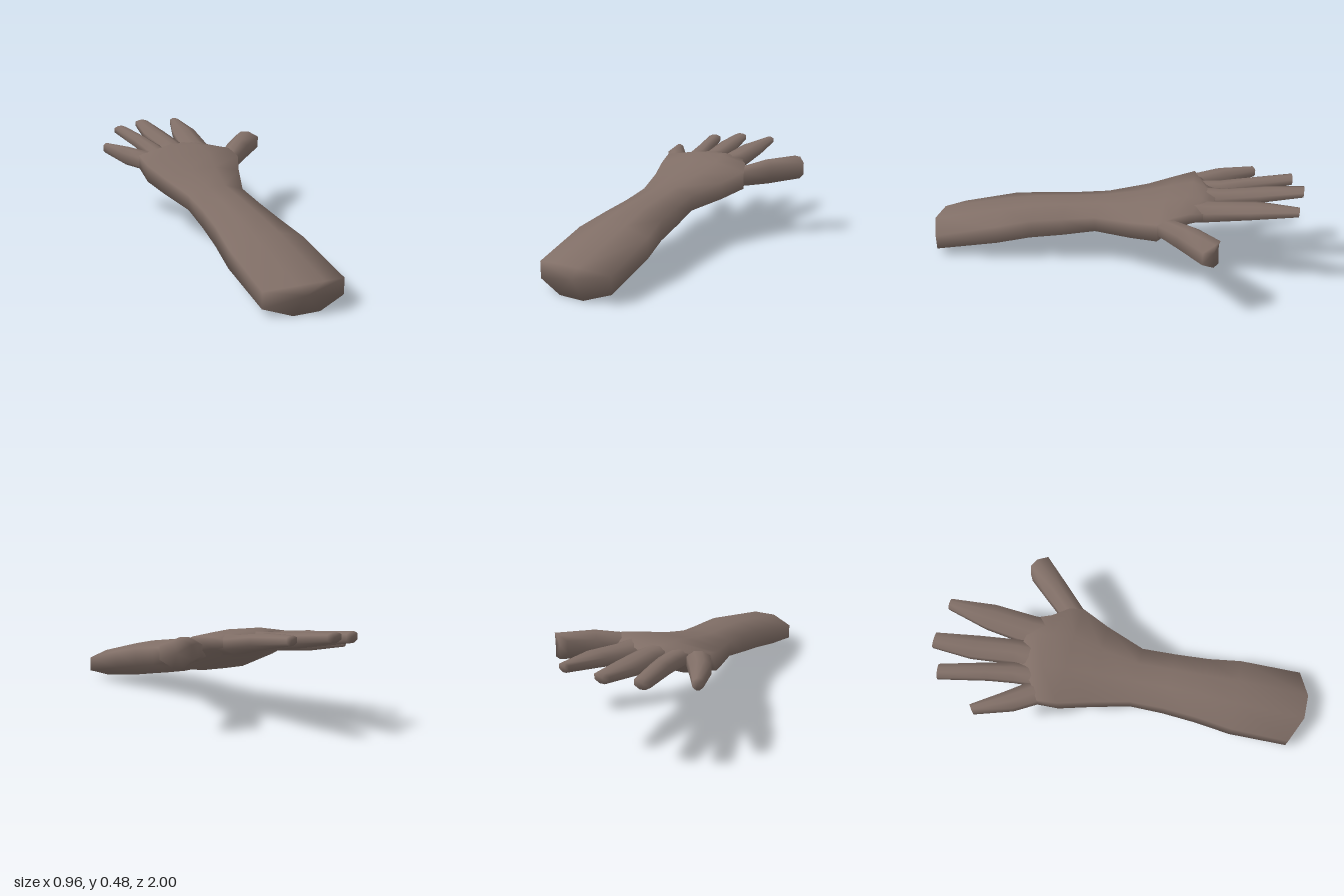
import * as THREE from 'three';

const skin = new THREE.MeshStandardMaterial({ color: 0x806e66 });
skin.name = 'skin';

// Octagonal outline: [across from left to right edge, up from bottom to top]
const OUTLINE = [[0, 0.28], [0.34, 0], [0.67, 0], [1, 0.28], [1, 0.8], [0.67, 1], [0.34, 1], [0, 0.8]];

// Skins a row of sections, each
// [leftX, leftZ, rightX, rightZ, topY, bottomY, topBulgeZ, bottomBulgeZ], running towards -z.
function loft(name, sections, capStart = false) {
  const pos = [], index = [], n = OUTLINE.length;
  for (const [lx, lz, rx, rz, top, bottom, bulgeTop = 0, bulgeBottom = bulgeTop] of sections) {
    for (const [u, v] of OUTLINE) {
      const bulge = v === 1 ? bulgeTop : v === 0 ? bulgeBottom : 0;
      pos.push(lx + (rx - lx) * u, bottom + (top - bottom) * v, lz + (rz - lz) * u + bulge);
    }
  }
  for (let i = 0; i < sections.length - 1; i++) {
    for (let j = 0; j < n; j++) {
      const a = i * n + j, b = i * n + (j + 1) % n;
      index.push(a, a + n, b, b, a + n, b + n);
    }
  }
  // Close an end with a fan around its middle
  const cap = (ring, flip) => {
    const centre = pos.length / 3, mid = [0, 0, 0];
    for (let j = 0; j < n; j++) for (let k = 0; k < 3; k++) mid[k] += pos[(ring * n + j) * 3 + k] / n;
    pos.push(...mid);
    for (let j = 0; j < n; j++) {
      const a = ring * n + j, b = ring * n + (j + 1) % n;
      index.push(centre, flip ? b : a, flip ? a : b);
    }
  };
  if (capStart) cap(0, false);
  cap(sections.length - 1, true);

  const geometry = new THREE.BufferGeometry();
  geometry.setAttribute('position', new THREE.Float32BufferAttribute(pos, 3));
  geometry.setIndex(index);
  geometry.computeVertexNormals();
  const mesh = new THREE.Mesh(geometry, skin);
  mesh.name = name;
  return mesh;
}

export function createModel() {
  const group = new THREE.Group();
  group.name = 'forearmAndHand';

  // Forearm, wrist and palm
  group.add(loft('forearmAndPalm', [
    [-0.165, 0.94, 0.243, 0.94, 0.16, 0, 0.06, 0.03],
    [-0.195, 0.62, 0.2, 0.6, 0.25, 0.055],
    [-0.185, 0.42, 0.155, 0.42, 0.288, 0.09],
    [-0.185, 0.24, 0.13, 0.24, 0.31, 0.123],
    [-0.2, 0.06, 0.11, 0.06, 0.33, 0.17],
    [-0.265, -0.15, 0.175, -0.15, 0.372, 0.195],
    [-0.32, -0.3, 0.23, -0.3, 0.415, 0.228],
    [-0.34, -0.4, 0.2, -0.37, 0.44, 0.295, -0.03],
    [-0.25, -0.46, 0.14, -0.45, 0.434, 0.325, -0.04],
    [-0.165, -0.575, 0.11, -0.53, 0.42, 0.35],
  ], true));

  // Digits, each rooted inside the palm
  group.add(loft('littleFinger', [
    [-0.335, -0.39, -0.22, -0.43, 0.415, 0.315],
    [-0.41, -0.51, -0.335, -0.58, 0.425, 0.325],
    [-0.48, -0.7, -0.44, -0.73, 0.418, 0.36],
  ]));
  group.add(loft('ringFinger', [
    [-0.25, -0.42, -0.15, -0.5, 0.42, 0.33],
    [-0.265, -0.55, -0.165, -0.575, 0.427, 0.345],
    [-0.29, -0.68, -0.205, -0.7, 0.445, 0.365],
    [-0.355, -0.925, -0.28, -0.937, 0.466, 0.412],
  ]));
  group.add(loft('middleFinger', [
    [-0.165, -0.45, -0.03, -0.45, 0.43, 0.33],
    [-0.165, -0.585, -0.037, -0.567, 0.435, 0.345],
    [-0.2, -0.8, -0.075, -0.78, 0.457, 0.385],
    [-0.2, -0.998, -0.12, -1, 0.478, 0.43],
  ]));
  group.add(loft('indexFinger', [
    [-0.035, -0.45, 0.12, -0.42, 0.425, 0.32],
    [-0.035, -0.565, 0.115, -0.53, 0.428, 0.335],
    [-0.02, -0.77, 0.115, -0.75, 0.46, 0.385],
    [0.03, -0.985, 0.085, -0.985, 0.475, 0.43],
  ]));
  group.add(loft('thumb', [
    [0.08, -0.33, 0.17, -0.2, 0.365, 0.265],
    [0.17, -0.41, 0.23, -0.3, 0.395, 0.288],
    [0.25, -0.51, 0.34, -0.42, 0.425, 0.293],
    [0.345, -0.625, 0.476, -0.565, 0.435, 0.308, -0.03],
  ]));

  return group;
}
